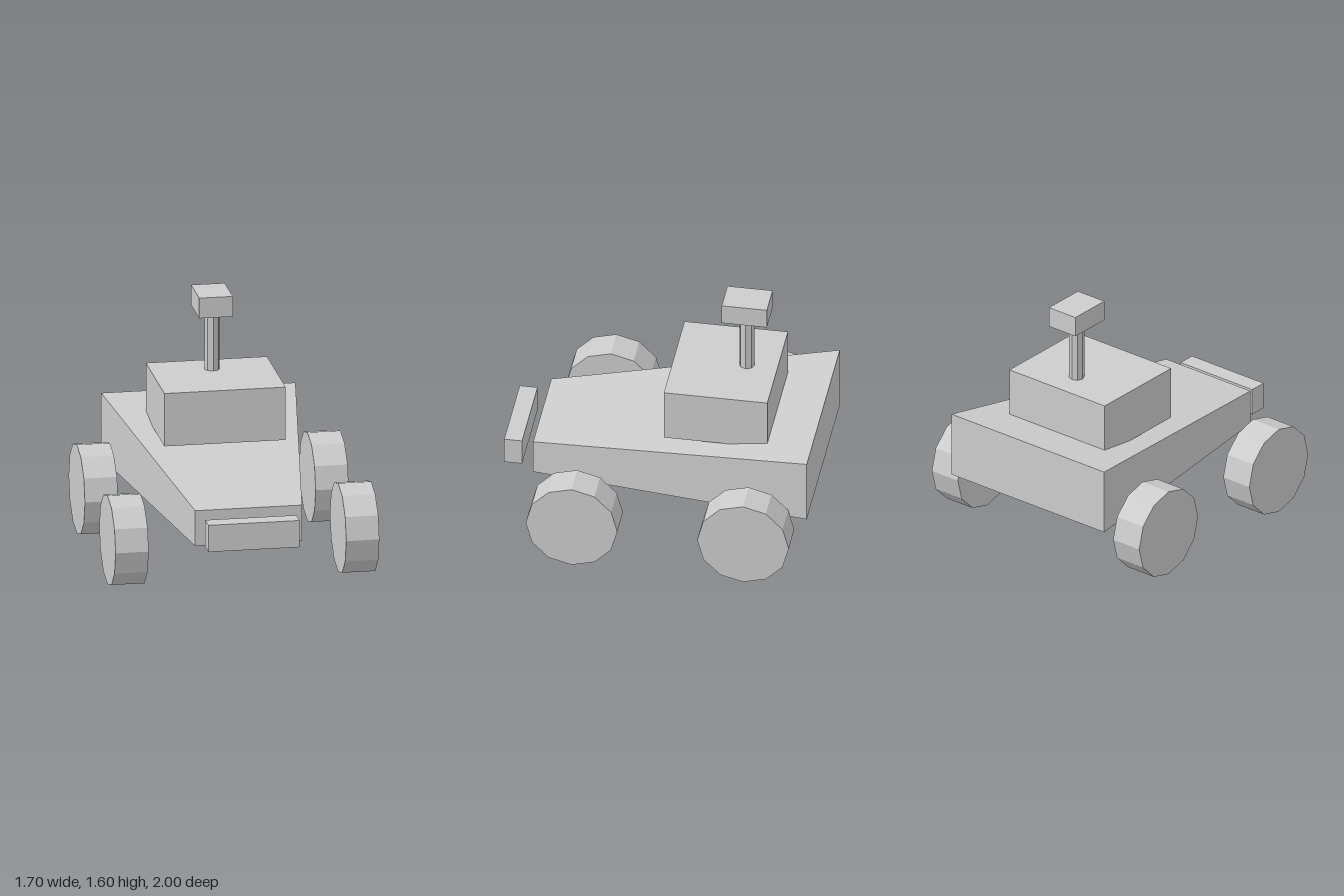
import * as THREE from 'three';

const grey = new THREE.MeshStandardMaterial({ color: 0xcccccc });
grey.name = 'plain grey';
grey.flatShading = true;

function part(name, geometry, x = 0, y = 0, z = 0) {
  const mesh = new THREE.Mesh(geometry, grey);
  mesh.name = name;
  mesh.position.set(x, y, z);
  return mesh;
}

// Box given by its half width and its y and z ranges, centred on x = 0
function block(name, halfWidth, y0, y1, z0, z1) {
  return part(name, new THREE.BoxGeometry(2 * halfWidth, y1 - y0, z1 - z0),
    0, (y0 + y1) / 2, (z0 + z1) / 2);
}

// Wedge hull: a unit box whose front and back ends get their own size
function hullGeometry() {
  const front = { x: 0.344, bottom: 0.328, top: 0.562, z: 0.805 };
  const back = { x: 0.625, bottom: 0.376, top: 0.806, z: -1 };
  const geometry = new THREE.BoxGeometry(1, 1, 1);
  const p = geometry.attributes.position;
  for (let i = 0; i < p.count; i++) {
    const end = p.getZ(i) > 0 ? front : back;
    p.setXYZ(i, Math.sign(p.getX(i)) * end.x, p.getY(i) > 0 ? end.top : end.bottom, end.z);
  }
  geometry.computeVertexNormals();
  return geometry;
}

export function createModel() {
  const model = new THREE.Group();
  model.name = 'rover';

  model.add(part('hull', hullGeometry()));
  model.add(block('bumper', 0.293, 0.345, 0.522, 0.885, 1));
  model.add(block('cabin', 0.39, 0.732, 1.082, -0.707, -0.042));

  // Sensor mast and head
  model.add(part('mast', new THREE.CylinderGeometry(0.049, 0.049, 0.39, 8), 0, 1.273, -0.51));
  model.add(block('sensorHead', 0.108, 1.466, 1.6, -0.656, -0.366));

  // Four twelve-sided wheels
  const wheel = new THREE.CylinderGeometry(0.294, 0.294, 0.213, 12).rotateZ(Math.PI / 2);
  for (const [end, z] of [['front', 0.473], ['rear', -0.628]]) {
    for (const [side, sign] of [['Left', 1], ['Right', -1]]) {
      model.add(part(`${end}${side}Wheel`, wheel, sign * 0.742, 0.295, z));
    }
  }
  return model;
}
